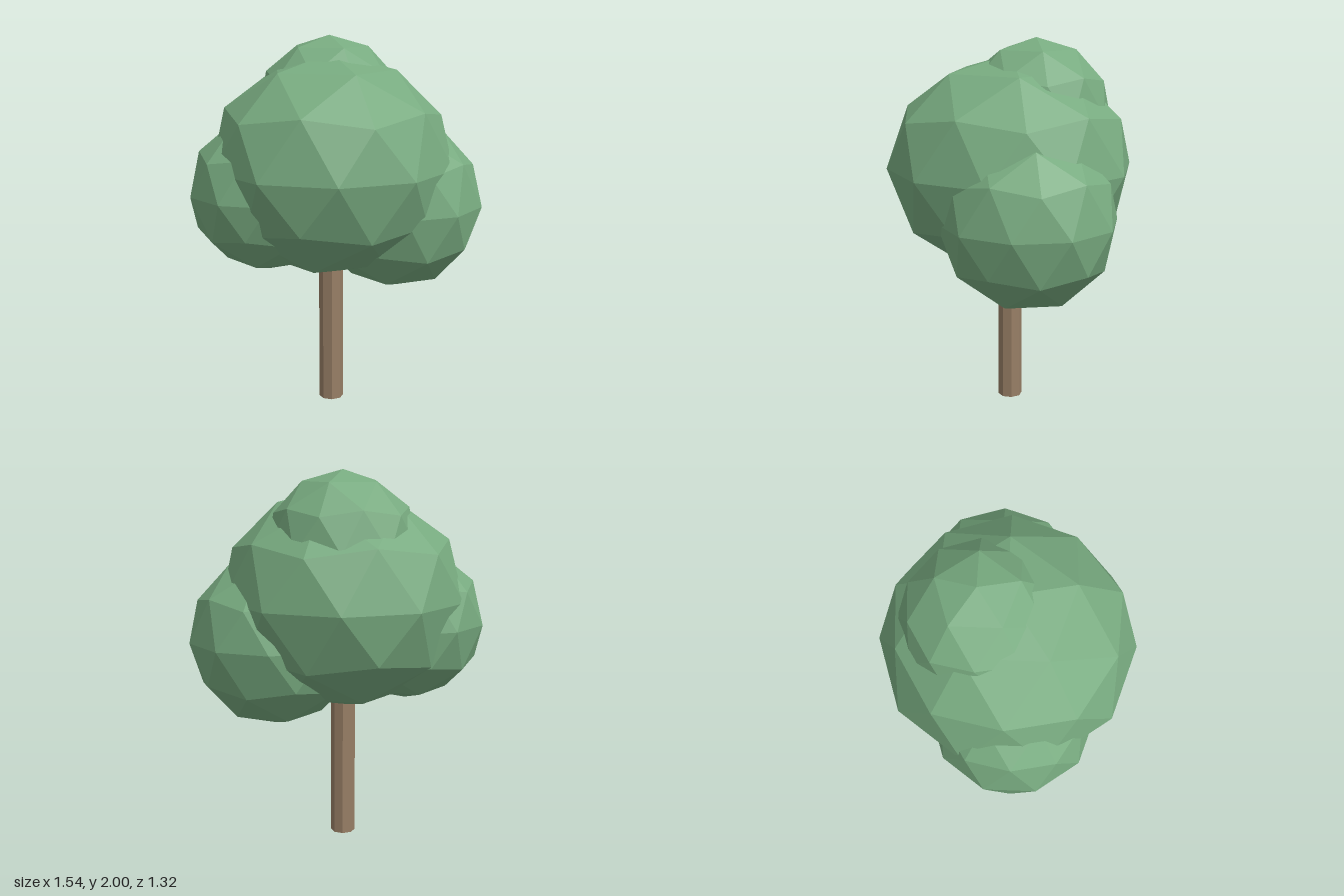
import * as THREE from 'three';

const foliage = new THREE.MeshStandardMaterial({ name: 'leafGreen', color: 0x78ab80 });
const bark = new THREE.MeshStandardMaterial({ name: 'barkBrown', color: 0x987f66 });

// Turns an icosahedron so that one corner points straight up
const POLE_TILT = -Math.atan(2 / (1 + Math.sqrt(5)));

// One faceted leaf clump, optionally squashed in height
function clump(name, radius, [x, y, z], squash = 1) {
  const geometry = new THREE.IcosahedronGeometry(radius, 1);
  geometry.rotateZ(POLE_TILT);
  geometry.scale(1, squash, 1);
  geometry.computeVertexNormals(); // unshared corners give flat facets
  const mesh = new THREE.Mesh(geometry, foliage);
  mesh.name = name;
  mesh.position.set(x, y, z);
  return mesh;
}

export function createModel() {
  const tree = new THREE.Group();
  tree.name = 'tree';

  // Eight-sided trunk, its top hidden in the crown
  const trunkHeight = 1.0;
  const trunkGeometry = new THREE.CylinderGeometry(0.066, 0.066, trunkHeight, 8).toNonIndexed();
  trunkGeometry.computeVertexNormals();
  const trunk = new THREE.Mesh(trunkGeometry, bark);
  trunk.name = 'trunk';
  trunk.position.set(-0.033, trunkHeight / 2, 0);
  tree.add(trunk);

  // Crown of four overlapping clumps
  tree.add(
    clump('mainCrown', 0.66, [-0.033, 1.32, 0], 0.9),
    clump('leftClump', 0.467, [0.327, 1.1, -0.043]),
    clump('rightClump', 0.424, [-0.37, 1.185, 0.037]),
    clump('topClump', 0.4, [-0.033, 1.6, -0.14]),
  );
  return tree;
}
